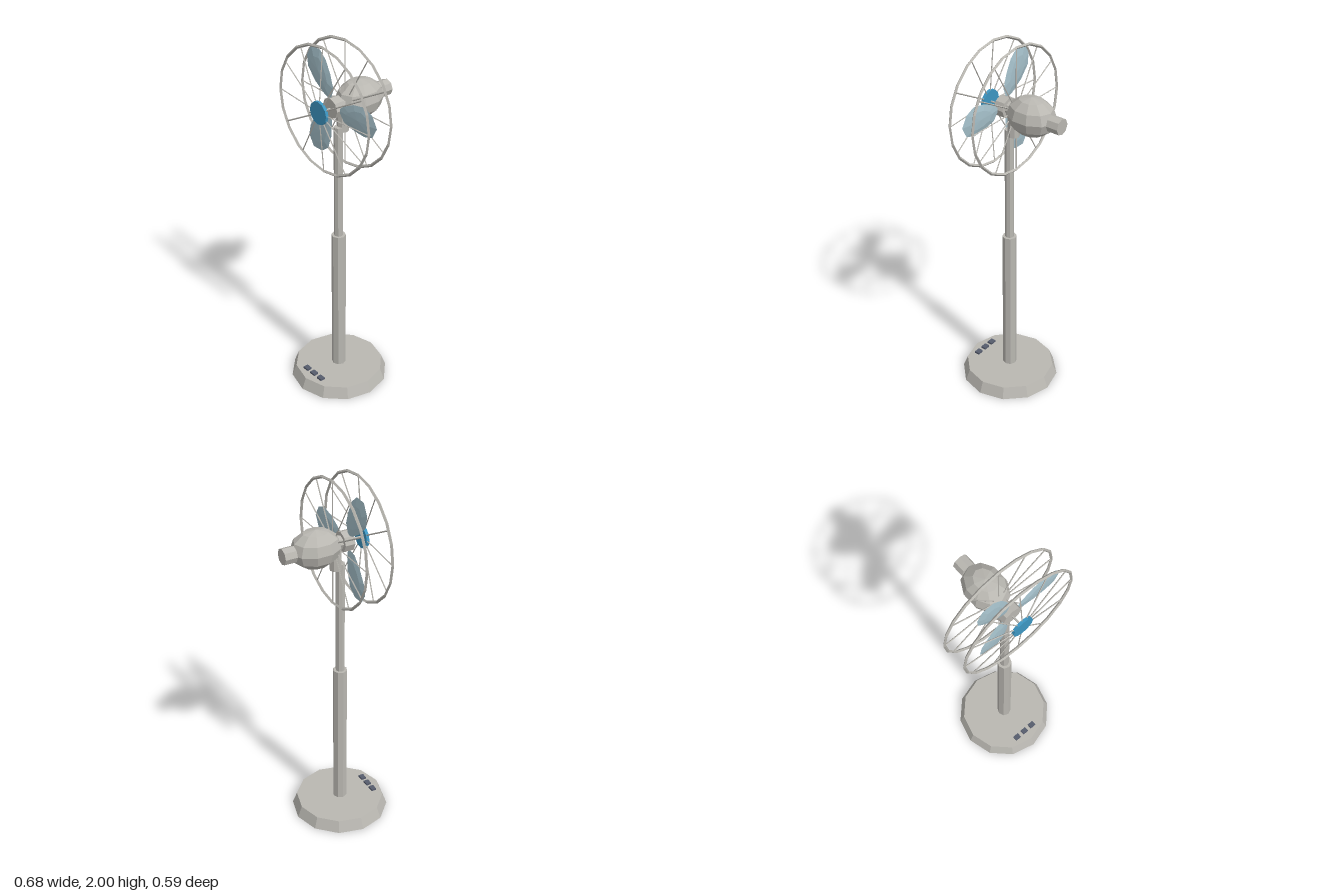
import * as THREE from 'three';

const HEAD_Y = 1.658; // height of the fan axis

export function createModel() {
  const root = new THREE.Group();
  root.name = 'pedestalFan';

  const paint = (name, color) => {
    const m = new THREE.MeshStandardMaterial({ color });
    m.name = name;
    return m;
  };
  const grey = paint('warmGrey', 0xb9b7b1);
  const blue = paint('capBlue', 0x3d96c2);
  const pale = paint('bladePaleBlue', 0xa4bfc9);
  const slate = paint('buttonSlate', 0x565c6d);

  // Adds a faceted mesh
  const add = (parent, name, geometry, material, x = 0, y = 0, z = 0) => {
    const g = geometry.index ? geometry.toNonIndexed() : geometry;
    g.computeVertexNormals();
    const mesh = new THREE.Mesh(g, material);
    mesh.name = name;
    mesh.position.set(x, y, z);
    parent.add(mesh);
    return mesh;
  };
  const upright = (name, rTop, rBottom, y0, y1, z, sides) =>
    add(root, name, new THREE.CylinderGeometry(rTop, rBottom, y1 - y0, sides), grey, 0, (y0 + y1) / 2, z);
  const head = new THREE.Group();
  head.name = 'head';
  head.position.y = HEAD_Y;
  root.add(head);
  const axial = (name, r, z0, z1, sides, material) =>
    add(head, name, new THREE.CylinderGeometry(r, r, z1 - z0, sides).rotateX(Math.PI / 2), material, 0, 0, (z0 + z1) / 2);

  // Stand
  upright('base', 0.241, 0.265, 0, 0.063, 0.027, 12);
  upright('lowerPole', 0.038, 0.038, 0.06, 0.905, 0.028, 8);
  upright('upperPole', 0.024, 0.024, 0.9, 1.54, 0.028, 8);
  upright('neck', 0.031, 0.031, 1.512, 1.63, 0, 8);
  for (const x of [-0.057, 0, 0.057]) {
    add(root, 'button', new THREE.BoxGeometry(0.035, 0.014, 0.028), slate, x, 0.067, 0.208);
  }

  // Motor and the parts along its axis
  add(head, 'motor', new THREE.SphereGeometry(1, 10, 6).rotateY(Math.PI / 2).scale(0.105, 0.102, 0.135), grey, 0, 0, -0.11);
  axial('rearKnob', 0.043, -0.295, -0.23, 8, grey);
  axial('collar', 0.036, -0.01, 0.03, 8, grey);
  axial('hub', 0.055, 0.027, 0.082, 8, grey);
  axial('shaft', 0.005, 0.08, 0.145, 6, grey);
  axial('frontCap', 0.061, 0.142, 0.158, 12, blue);

  // Blades: lens-shaped paddles
  for (let i = 0; i < 3; i++) {
    add(head, 'blade', bladeGeometry(), pale, 0, 0, 0.061).rotation.z = (i * Math.PI * 2) / 3;
  }

  // Guard: two rings with twelve spokes each
  const guard = (name, ringZ, centreZ) => {
    const group = new THREE.Group();
    group.name = name;
    head.add(group);
    add(group, 'ring', new THREE.TorusGeometry(0.334, 0.008, 4, 20), grey, 0, 0, ringZ);
    for (let i = 0; i < 12; i++) {
      const a = (i * Math.PI) / 6;
      const inner = new THREE.Vector3(Math.cos(a) * 0.02, Math.sin(a) * 0.02, centreZ);
      const outer = new THREE.Vector3(Math.cos(a) * 0.332, Math.sin(a) * 0.332, ringZ);
      const path = new THREE.LineCurve3(inner, outer);
      add(group, 'spoke', new THREE.TubeGeometry(path, 1, 0.0035, 4, false), grey);
    }
  };
  guard('frontGuard', 0.125, 0.15);
  guard('rearGuard', -0.016, -0.016);

  return root;
}

// Outline at the rim, rising through a middle ring to an apex on each face
function bladeGeometry() {
  const outline = [
    [0.04, 0], [0.08, -0.05], [0.155, -0.067], [0.23, -0.071], [0.287, -0.052],
    [0.318, 0.006], [0.285, 0.062], [0.23, 0.086], [0.15, 0.07], [0.075, 0.032],
  ];
  const n = outline.length, cx = 0.19, cy = 0.005;
  const positions = [], index = [];
  const loop = (s, z) => outline.forEach(([x, y]) => positions.push(cx + (x - cx) * s, cy + (y - cy) * s, z));
  loop(1, 0);
  loop(0.6, 0.008);
  loop(0.6, -0.008);
  positions.push(cx, cy, 0.011, cx, cy, -0.011);
  for (let i = 0; i < n; i++) {
    const j = (i + 1) % n;
    index.push(i, j, n + j, i, n + j, n + i, n + i, n + j, 3 * n);
    index.push(j, i, 2 * n + j, i, 2 * n + i, 2 * n + j, 2 * n + j, 2 * n + i, 3 * n + 1);
  }
  const g = new THREE.BufferGeometry();
  g.setAttribute('position', new THREE.Float32BufferAttribute(positions, 3));
  g.setIndex(index);
  return g;
}
